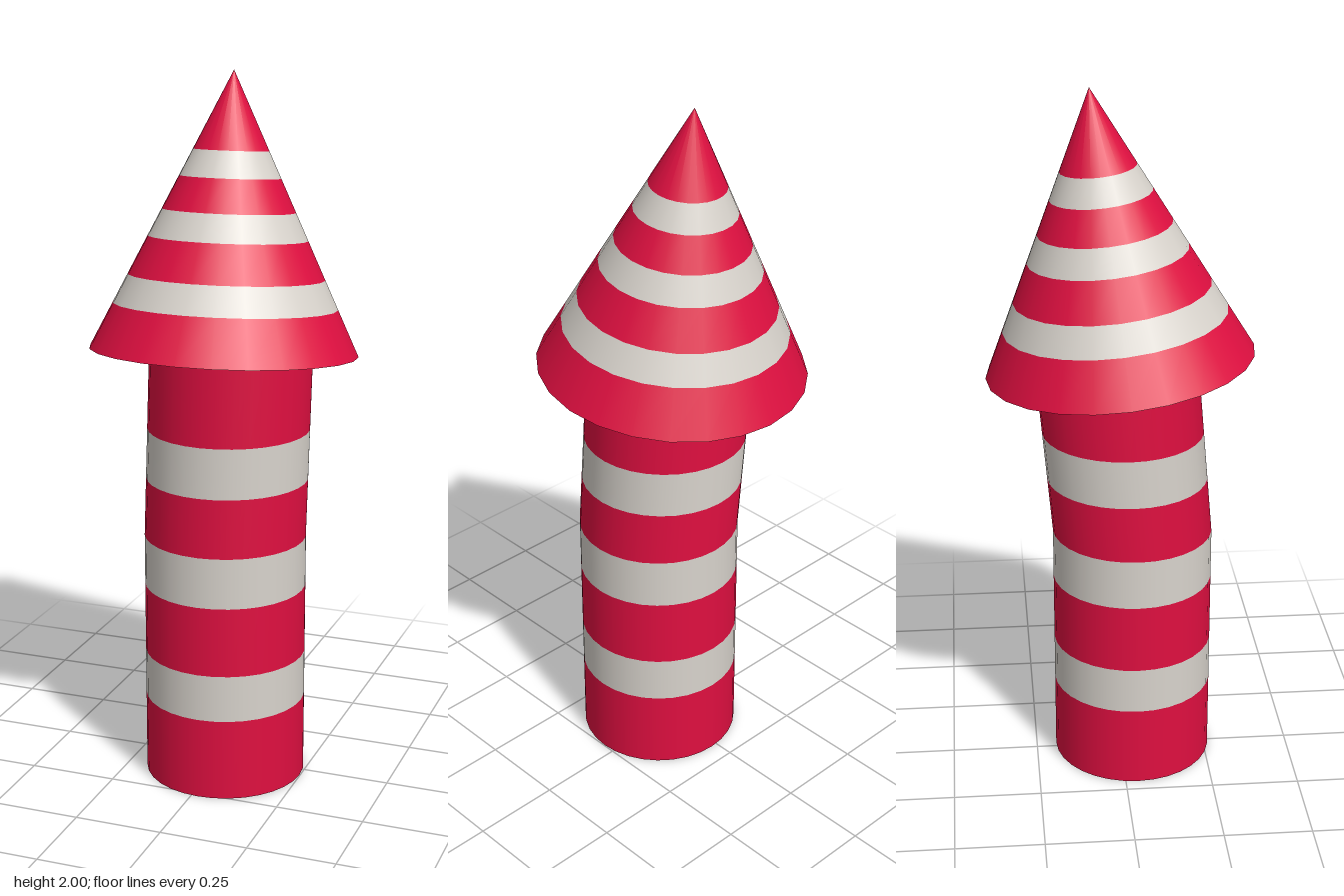
import * as THREE from 'three';

const red = new THREE.MeshStandardMaterial({ color: 0xdf0f40 });
red.name = 'red';
const white = new THREE.MeshStandardMaterial({ color: 0xd8d3cc });
white.name = 'warm white';

// open ring between two heights along y
function ring(y0, y1, r0, r1, sides) {
  const geo = new THREE.CylinderGeometry(r1, r0, y1 - y0, sides, 1, true);
  return geo.translate(0, (y0 + y1) / 2, 0);
}

function addMesh(parent, name, geo, material) {
  const mesh = new THREE.Mesh(geo, material);
  mesh.name = name;
  parent.add(mesh);
  return mesh;
}

export function createModel() {
  const model = new THREE.Group();
  model.name = 'stripedTower';

  // Column: level stripes, leaning back above the bend
  const radius = 0.229, bend = 0.715, lean = 0.088;
  const column = new THREE.Group();
  column.name = 'column';
  column.position.set(0.019, 0, 0.037);
  const levels = [0, 0.235, 0.37, 0.57, bend, 0.88, 1.02, 1.255];
  for (let i = 0; i < levels.length - 1; i++) {
    const geo = ring(levels[i], levels[i + 1], radius, radius, 32);
    const p = geo.attributes.position;
    for (let k = 0; k < p.count; k++) {
      p.setZ(k, p.getZ(k) - lean * Math.max(0, p.getY(k) - bend));
    }
    addMesh(column, 'columnStripe' + (i + 1), geo, i % 2 ? white : red);
  }
  addMesh(column, 'columnBottom', new THREE.CircleGeometry(radius, 32).rotateX(Math.PI / 2), red);
  model.add(column);

  // Cone roof: tilted back, stripes follow its tilt
  const roofRadius = 0.375, roofHeight = 0.769;
  const roof = new THREE.Group();
  roof.name = 'coneRoof';
  roof.position.y = 1.235;
  roof.rotation.x = -0.106;
  const steps = [0, 0.166, 0.27, 0.408, 0.506, 0.625, 0.72, 1];
  for (let i = 0; i < steps.length - 1; i++) {
    const a = steps[i], b = steps[i + 1];
    const geo = ring(a * roofHeight, b * roofHeight, roofRadius * (1 - a), roofRadius * (1 - b), 24);
    addMesh(roof, 'roofStripe' + (i + 1), geo, i % 2 ? white : red);
  }
  const underside = new THREE.CircleGeometry(roofRadius, 24).rotateX(Math.PI / 2);
  addMesh(roof, 'roofUnderside', underside, red);
  model.add(roof);

  return model;
}
